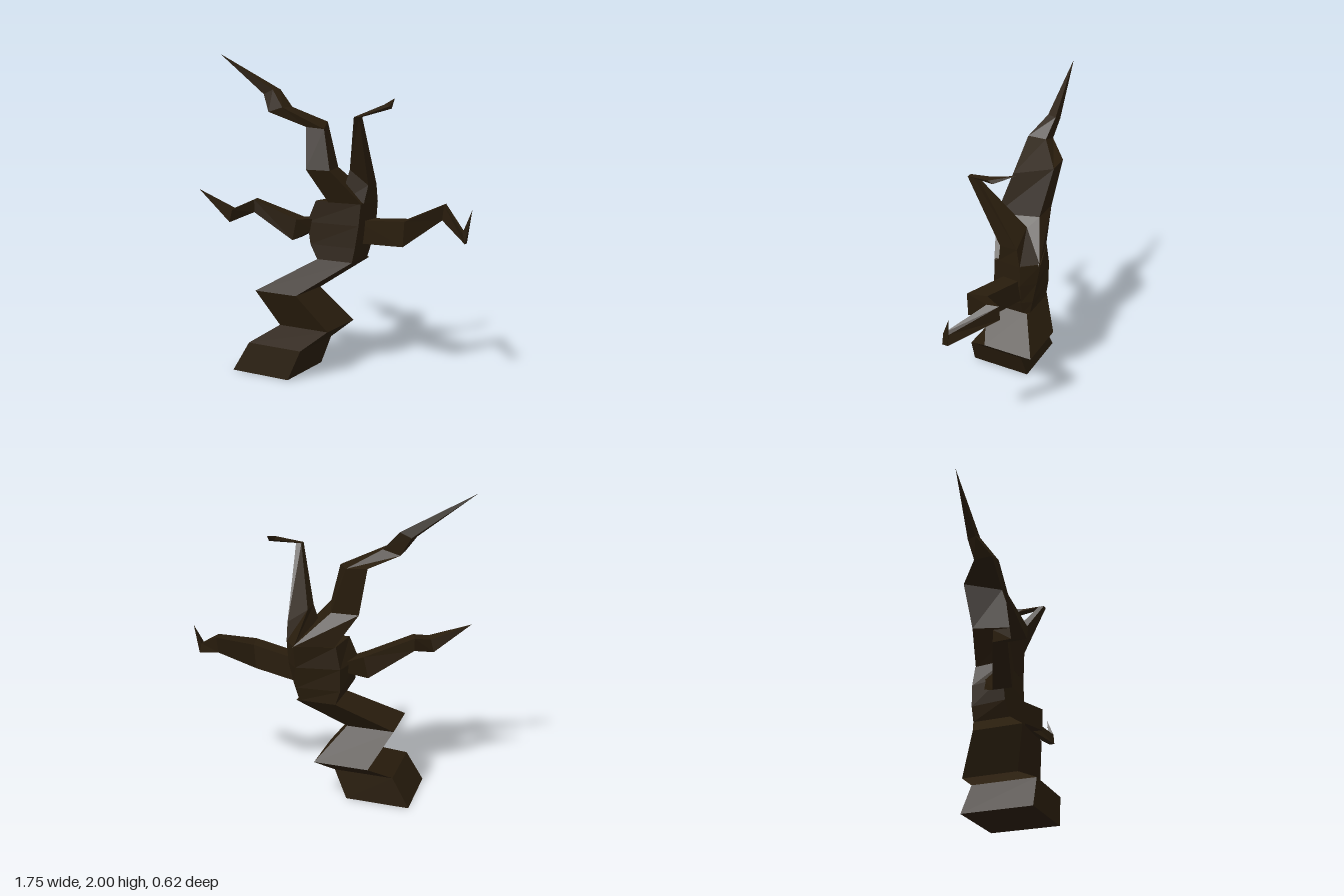
import * as THREE from 'three';

// Four-cornered section: edge A (xa,ya) and edge B (xb,yb), each running from zFront to zBack.
// dx, dy shift the back corners so joints can be mitred.
function section(xa, ya, xb, yb, zFront, zBack, dx = 0, dy = 0) {
  return [
    [xa, ya, zFront], [xb, yb, zFront],
    [xb + dx, yb + dy, zBack], [xa + dx, ya + dy, zBack],
  ];
}

// Level section at height y from [x, z] corners, counter-clockwise from the front left one.
const level = (y, ...corners) => corners.map(([x, z]) => [x, y, z]);

// Skins a list of sections with flat faces and closes both ends.
function limb(name, material, rings) {
  const pos = [];
  const tri = (a, b, c) => pos.push(...a, ...b, ...c);
  const count = rings[0].length;
  for (let i = 0; i < rings.length - 1; i++) {
    for (let k = 0; k < count; k++) {
      const n = (k + 1) % count;
      tri(rings[i][k], rings[i][n], rings[i + 1][n]);
      tri(rings[i][k], rings[i + 1][n], rings[i + 1][k]);
    }
  }
  const first = rings[0], last = rings[rings.length - 1];
  for (let k = 1; k < count - 1; k++) {
    tri(first[0], first[k + 1], first[k]);
    tri(last[0], last[k], last[k + 1]);
  }
  const geometry = new THREE.BufferGeometry();
  geometry.setAttribute('position', new THREE.Float32BufferAttribute(pos, 3));
  geometry.computeVertexNormals();
  const mesh = new THREE.Mesh(geometry, material);
  mesh.name = name;
  return mesh;
}

export function createModel() {
  const bark = new THREE.MeshStandardMaterial({ color: 0x291d0d });
  bark.name = 'dark bark';
  const tree = new THREE.Group();
  tree.name = 'bareTree';

  tree.add(
    // Zigzag trunk
    limb('trunk', bark, [
      section(-0.55, 0, -0.14, 0, 0.31, -0.10),
      section(-0.44, 0.19, -0.06, 0.19, 0.29, -0.09),
      section(-0.31, 0.285, 0.04, 0.285, 0.13, -0.21),
      section(-0.44, 0.51, -0.14, 0.51, 0.21, -0.09),
      section(-0.11, 0.71, 0.14, 0.71, 0, -0.24),
    ]),
    // Swollen crown the limbs grow from
    limb('crown', bark, [
      level(0.71, [-0.11, 0], [0.14, 0], [0.14, -0.2], [0.12, -0.24], [-0.11, -0.24]),
      level(0.80, [-0.165, -0.01], [0.155, -0.01], [0.17, -0.2], [0.13, -0.26], [-0.14, -0.24]),
      level(0.94, [-0.19, -0.015], [0.175, -0.02], [0.2, -0.21], [0.13, -0.285], [-0.14, -0.24]),
      level(1.08, [-0.13, -0.02], [0.185, -0.03], [0.21, -0.21], [0.13, -0.31], [-0.11, -0.235]),
    ]),
    // Thick upper branch leaning to the right side
    limb('upperBranch', bark, [
      level(1.075, [-0.04, -0.02], [0.19, -0.03], [0.14, -0.305], [-0.10, -0.235]),
      section(-0.16, 1.28, 0.01, 1.28, 0.05, -0.20, -0.08),
      section(-0.20, 1.54, -0.07, 1.53, -0.02, -0.24, -0.10, 0.035),
      section(-0.455, 1.63, -0.35, 1.66, 0.02, -0.10),
      section(-0.54, 1.74, -0.47, 1.77, -0.055, -0.115, 0.02),
      section(-0.87, 2, -0.87, 2, -0.04, -0.04),
    ]),
    // Slim upright branch with a bent tip
    limb('uprightBranch', bark, [
      level(1.075, [0.02, -0.06], [0.19, -0.06], [0.21, -0.21], [0.13, -0.305]),
      section(0.08, 1.28, 0.21, 1.19, -0.08, -0.19),
      section(0.21, 1.615, 0.245, 1.615, 0.11, 0.07),
      section(0.315, 1.685, 0.35, 1.675, -0.08, -0.11, 0, -0.015),
      section(0.31, 1.72, 0.31, 1.72, -0.235, -0.235),
    ]),
    // Crooked arm on the right side
    limb('rightArm', bark, [
      section(-0.16, 0.89, -0.15, 0.96, -0.025, -0.15),
      section(-0.25, 0.83, -0.22, 0.965, 0.07, -0.05, -0.01),
      section(-0.49, 1.00, -0.49, 1.08, 0.14, 0.06, -0.03),
      section(-0.575, 0.95, -0.555, 1.03, 0.29, 0.21, -0.035),
      section(-0.83, 1.14, -0.83, 1.14, 0.26, 0.26),
    ]),
    // Crooked arm on the left side
    limb('leftArm', bark, [
      section(0.1, 0.96, 0.1, 0.815, -0.11, -0.22),
      section(0.49, 0.995, 0.48, 0.84, -0.01, -0.13, -0.03),
      section(0.65, 1.08, 0.64, 0.985, -0.23, -0.30, -0.015),
      section(0.84, 0.95, 0.855, 0.885, -0.06, -0.095),
      section(0.875, 1.08, 0.875, 1.08, -0.12, -0.12),
    ]),
  );
  return tree;
}
